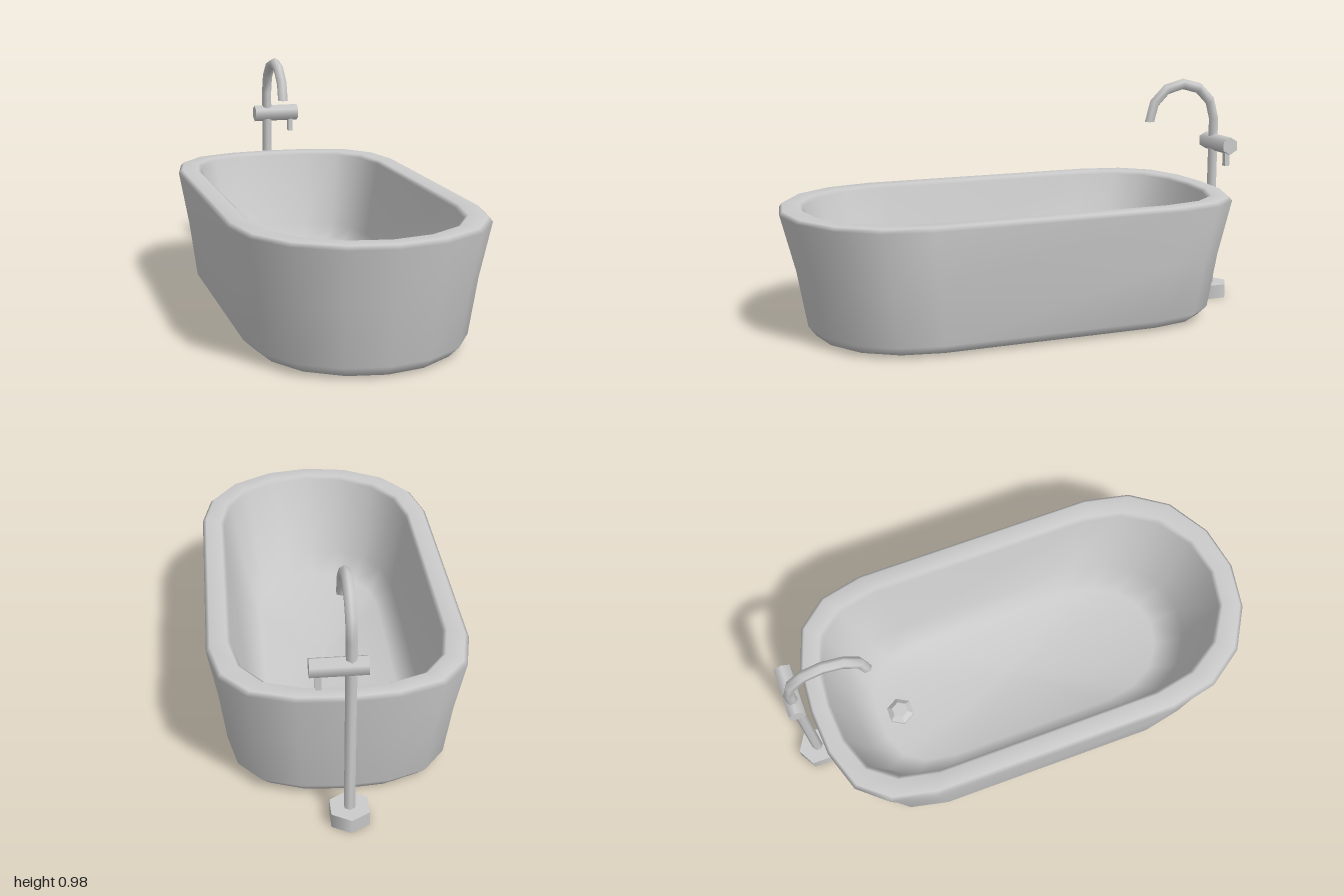
import * as THREE from 'three';

const material = new THREE.MeshStandardMaterial({ color: 0xcccccc });
const openMaterial = new THREE.MeshStandardMaterial({ color: 0xcccccc, side: THREE.DoubleSide });
const facetedMaterial = new THREE.MeshStandardMaterial({ color: 0xcccccc, flatShading: true });

// Joins closed rings of equal length into one smooth skin
function loft(rings) {
  const n = rings[0].length;
  const index = [];
  for (let i = 0; i < rings.length - 1; i++) {
    for (let j = 0; j < n; j++) {
      const k = (j + 1) % n;
      const a = i * n + j, b = i * n + k, c = a + n, d = b + n;
      index.push(a, b, d, a, d, c);
    }
  }
  const geometry = new THREE.BufferGeometry();
  geometry.setAttribute('position', new THREE.Float32BufferAttribute(rings.flat(2), 3));
  geometry.setIndex(index);
  geometry.computeVertexNormals();
  return geometry;
}

function addPart(group, name, geometry, position = [0, 0, 0], mat = material) {
  const mesh = new THREE.Mesh(geometry, mat);
  mesh.name = name;
  mesh.position.set(...position);
  group.add(mesh);
}

const lathe = (points, phi = 0) =>
  new THREE.LatheGeometry(points.map(([r, y]) => new THREE.Vector2(r, y)), 6, phi);

// Tub: one plan outline scaled through the outer wall, rim and inner basin
function tubGeometry() {
  const half = [
    [0, 1], [0.37, 0.968], [0.71, 0.867], [0.92, 0.715], [1, 0.525],
    [1, -0.58], [0.92, -0.785], [0.72, -0.92], [0.38, -0.985], [0, -1],
  ];
  const mirrored = half.slice(1, -1).reverse().map(([x, z]) => [-x, z]);
  const outline = [...half, ...mirrored];
  // height, half width, reach to the front, reach to the back
  const sections = [
    [0.01, 0, 0, 0],
    [0.01, 0.40, 0.87, 0.76],
    [0.05, 0.44, 0.90, 0.79],
    [0.28, 0.468, 0.94, 0.825],
    [0.508, 0.505, 0.998, 0.875],
    [0.523, 0.49, 0.985, 0.862],
    [0.523, 0.425, 0.915, 0.805],
    [0.51, 0.41, 0.90, 0.79],
    [0.19, 0.345, 0.79, 0.71],
    [0.12, 0.27, 0.67, 0.62],
    [0.11, 0, 0, 0],
  ];
  return loft(sections.map(([y, w, front, back]) =>
    outline.map(([x, z]) => [x * w, y, z * (z > 0 ? front : back)])));
}

// Six-sided riser that bends over into the spout
function pipeGeometry() {
  const ring = (y, z, angle, r) => Array.from({ length: 6 }, (_, j) => {
    const phi = j * Math.PI / 3;
    const out = r * Math.cos(phi);
    return [-r * Math.sin(phi), y + out * Math.sin(angle), z - out * Math.cos(angle)];
  });
  const radius = 0.023, bend = 0.157;
  const rings = [ring(0.05, -0.917, 0, radius)];
  for (let i = 0; i <= 6; i++) {
    const a = i * Math.PI / 6;
    rings.push(ring(0.8 + bend * Math.sin(a), -0.76 - bend * Math.cos(a), a, radius));
  }
  const tip = -0.76 + bend;
  rings.push(ring(0.8, tip, Math.PI, radius), ring(0.8, tip, Math.PI, 0));
  return loft(rings);
}

export function createModel() {
  const model = new THREE.Group();
  model.name = 'bathtub with floor tap';

  addPart(model, 'tub', tubGeometry());
  addPart(model, 'drain',
    lathe([[0.06, 0.105], [0.06, 0.13], [0.035, 0.15], [0, 0.15]], Math.PI / 2),
    [0, 0, -0.525], facetedMaterial);

  // Free-standing tap behind the tub
  const tap = new THREE.Group();
  tap.name = 'tap';
  model.add(tap);
  // The doubled point keeps the top edge of the hollow base sharp
  addPart(tap, 'tapBase', lathe([[0.083, 0], [0.083, 0.06], [0.083, 0.06], [0, 0.06]]),
    [0, 0, -0.917], openMaterial);
  addPart(tap, 'spout', pipeGeometry());

  const valve = new THREE.CylinderGeometry(0.038, 0.038, 0.21, 6)
    .rotateY(Math.PI / 6).rotateZ(Math.PI / 2);
  addPart(tap, 'valveBody', valve, [0.044, 0.697, -0.917]);
  addPart(tap, 'lever', new THREE.BoxGeometry(0.022, 0.07, 0.022), [0.116, 0.643, -0.917]);

  return model;
}
